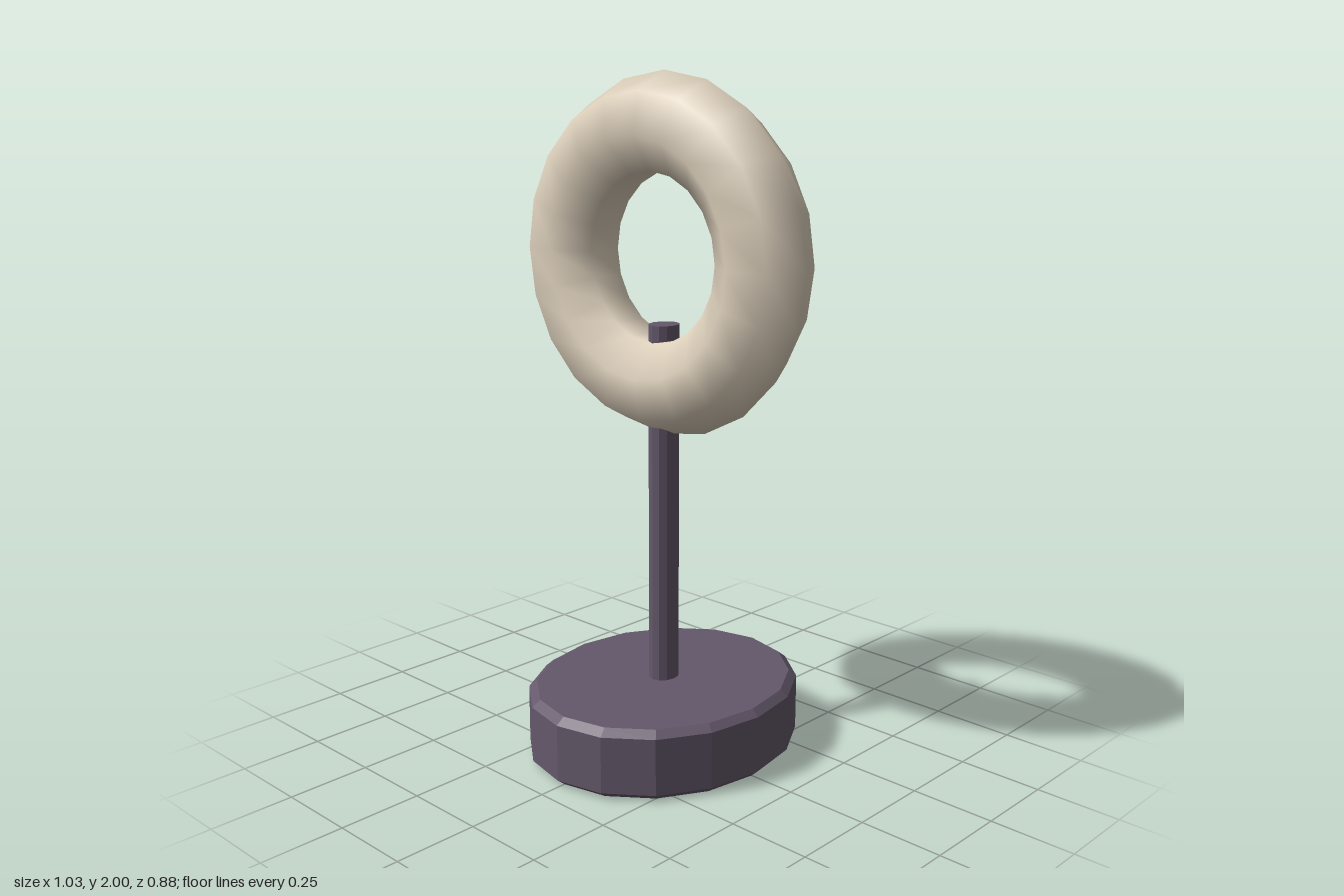
import * as THREE from 'three';

const purple = new THREE.MeshStandardMaterial({ color: 0x64586a });
purple.name = 'dusky purple';
const cream = new THREE.MeshStandardMaterial({ color: 0xdccfbb });
cream.name = 'warm cream';

// Faceted turned part, slightly deeper than wide
function turned(name, profile, sides, depthScale) {
  const points = profile.map(([r, y]) => new THREE.Vector2(r, y));
  const geometry = new THREE.LatheGeometry(points, sides).scale(1, 1, depthScale).toNonIndexed();
  geometry.computeVertexNormals();
  const mesh = new THREE.Mesh(geometry, purple);
  mesh.name = name;
  return mesh;
}

export function createModel() {
  const model = new THREE.Group();
  model.name = 'ringOnStand';

  // Oval base with bevelled rims
  model.add(turned('base', [
    [0, 0], [0.354, 0], [0.376, 0.02], [0.376, 0.19], [0.354, 0.21], [0, 0.21],
  ], 16, 1.167));

  // Post running up through the bottom of the ring
  model.add(turned('post', [[0, 0.2], [0.042, 0.2], [0.042, 1.29], [0, 1.29]], 12, 1.167));

  // Smooth ring, slightly flattened front to back
  const geometry = new THREE.TorusGeometry(0.373, 0.144, 7, 20).scale(1, 1, 0.89);
  const ring = new THREE.Mesh(geometry, cream);
  ring.name = 'ring';
  ring.position.y = 1.483;
  model.add(ring);

  return model;
}
